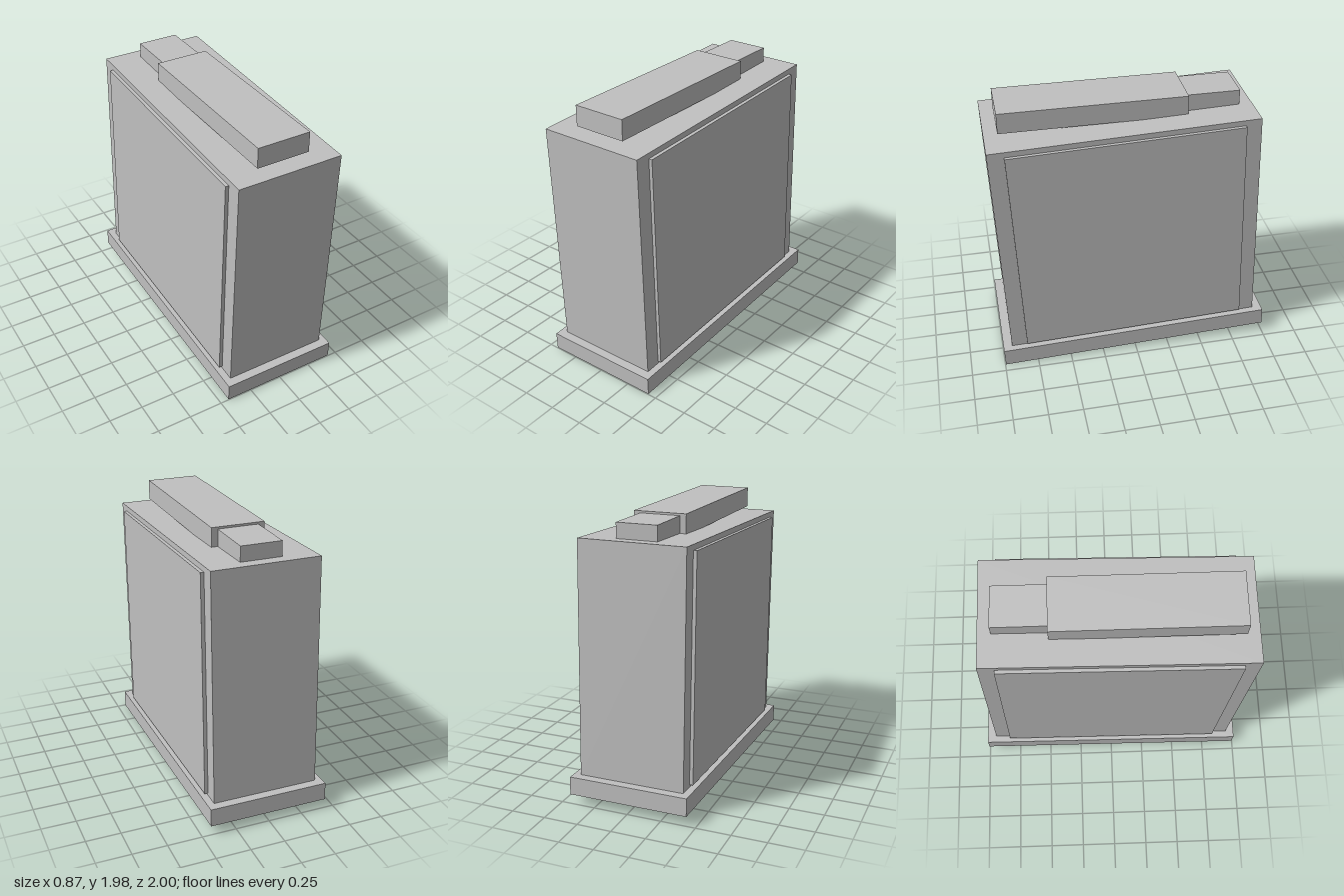
import * as THREE from 'three';

export function createModel() {
  const model = new THREE.Group();
  const gray = new THREE.MeshStandardMaterial({ color: 0xc0c0c0 });
  gray.name = 'plain gray';

  const box = (name, size, position, tilt = 0) => {
    const mesh = new THREE.Mesh(new THREE.BoxGeometry(...size), gray);
    mesh.name = name;
    mesh.position.set(...position);
    mesh.rotation.x = tilt;
    model.add(mesh);
  };

  // Base, body and side panels lean forward together
  const lean = THREE.MathUtils.degToRad(2);
  box('base', [0.87, 0.13, 1.997], [0, 0.1, 0], lean);
  box('body', [0.77, 1.665, 1.866], [0, 0.996, 0.0325], lean);
  for (const side of [-1, 1]) {
    box(side > 0 ? 'leftPanel' : 'rightPanel', [0.025, 1.607, 1.64], [side * 0.3975, 0.986, 0.031], lean);
  }

  // Level blocks on top
  box('topBlock', [0.386, 0.147, 1.305], [0, 1.9065, 0.2475]);
  box('rearTopBlock', [0.294, 0.13, 0.375], [0, 1.9, -0.5925]);

  return model;
}
